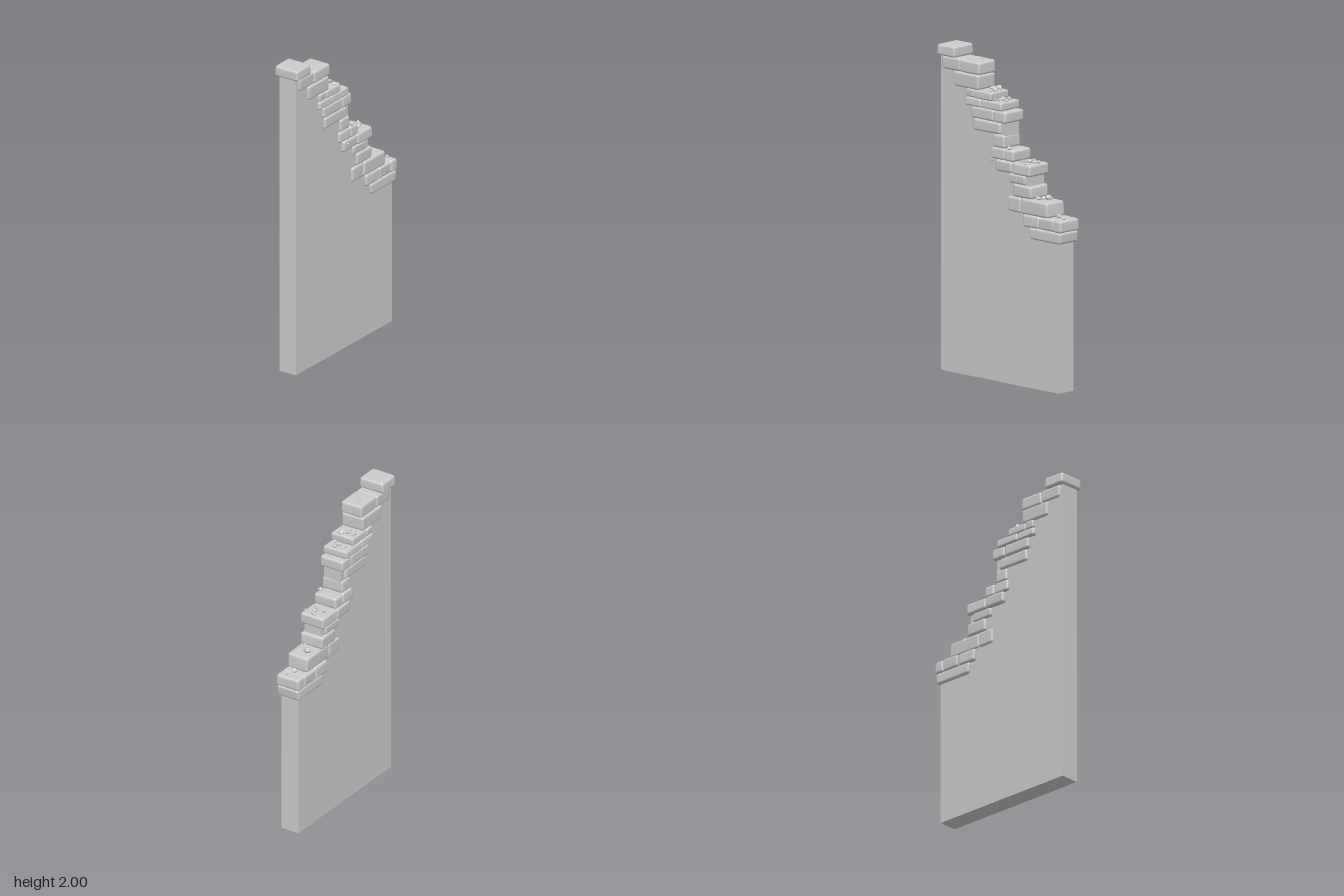
import * as THREE from 'three';
import { RoundedBoxGeometry } from 'three/addons/geometries/RoundedBoxGeometry.js';
import { mergeVertices } from 'three/addons/utils/BufferGeometryUtils.js';

// Courses of stones: bottom, top, x min, x max, then the z of each joint from front to back
const COURSES = [
  [1.93, 2.0, -0.1, 0.07, [0.522, 0.376]],
  [1.852, 1.932, -0.086, 0.063, [0.488, 0.335, 0.172]],
  [1.76, 1.852, -0.09, 0.063, [0.39, 0.18]],
  [1.711, 1.762, -0.094, 0.067, [0.28, 0.215, 0.07]],
  [1.66, 1.711, -0.1, 0.068, [0.285, 0.155, -0.015]],
  [1.588, 1.66, -0.098, 0.066, [0.24, 0.048, -0.052]],
  [1.515, 1.588, -0.09, 0.064, [0.222, -0.004]],
  [1.435, 1.515, -0.088, 0.06, [0.058, -0.036]],
  [1.363, 1.435, -0.095, 0.063, [0.072, -0.04, -0.118]],
  [1.293, 1.365, -0.098, 0.07, [0.036, -0.105, -0.262]],
  [1.235, 1.293, -0.09, 0.064, [-0.07, -0.215]],
  [1.155, 1.235, -0.095, 0.062, [-0.112, -0.265]],
  [1.06, 1.155, -0.085, 0.063, [-0.062, -0.175, -0.406]],
  [0.985, 1.062, -0.097, 0.066, [-0.2, -0.335, -0.455, -0.521]],
  [0.915, 0.987, -0.094, 0.064, [-0.25, -0.515]],
];

// Rubble: x, z, radius and, for the loose chip, a fixed height
const RUBBLE = [
  [0.008, -0.495, 0.012], [-0.01, -0.435, 0.021], [-0.03, -0.33, 0.024], [-0.008, -0.302, 0.019],
  [0.015, -0.285, 0.018], [-0.03, -0.245, 0.014], [-0.008, -0.23, 0.015], [-0.053, -0.18, 0.015],
  [0.003, -0.198, 0.018], [0.017, -0.158, 0.016], [0.058, -0.218, 0.007], [0.047, -0.072, 0.017],
  [-0.003, 0.004, 0.016], [-0.053, 0.033, 0.016], [-0.008, 0.036, 0.02], [0.01, 0.05, 0.015],
  [0.033, 0.06, 0.014], [0.004, 0.092, 0.021], [0.04, 0.095, 0.014], [-0.058, 0.12, 0.021],
  [-0.02, 0.115, 0.019], [-0.047, 0.153, 0.016], [-0.03, 0.155, 0.013], [-0.03, 0.235, 0.01],
  [0.094, 0.033, 0.008, 1.36],
];

let seed = 7;
function rand(spread) {
  seed = (seed * 16807) % 2147483647;
  return (seed / 2147483647 - 0.5) * 2 * spread;
}

const material = new THREE.MeshStandardMaterial({ color: 0xcccccc });
const chipMaterial = new THREE.MeshStandardMaterial({ color: 0xcccccc, flatShading: true });

// Rounded block whose faces and corners are pushed gently out of true
function makeStone(w, h, d) {
  let geo = new RoundedBoxGeometry(w, h, d, 3, Math.min(0.016, h * 0.25, d * 0.25));
  geo.deleteAttribute('uv');
  geo.deleteAttribute('normal');
  geo = mergeVertices(geo, 1e-5);
  const p = geo.attributes.position;
  const skew = Array.from({ length: 6 }, () => rand(0.025));
  for (let i = 0; i < p.count; i++) {
    const x = p.getX(i), y = p.getY(i), z = p.getZ(i);
    const u = x / w, v = y / h, t = z / d;
    p.setXYZ(i,
      x * (1 + skew[0] * v * 2) + 0.05 * w * skew[1] * t * 8,
      y * (1 + skew[2] * t * 4 + skew[3] * u * 2),
      z * (1 + skew[4] * u * 3 + skew[5] * v * 3));
  }
  geo.computeVertexNormals();
  return geo;
}

// Angular chip of broken stone
function makeChip(r) {
  let geo = new THREE.IcosahedronGeometry(r, 0);
  geo.deleteAttribute('uv');
  geo.deleteAttribute('normal');
  geo = mergeVertices(geo, 1e-5);
  const p = geo.attributes.position;
  for (let i = 0; i < p.count; i++) {
    const s = 1 + rand(0.22);
    p.setXYZ(i, p.getX(i) * s * 0.9, p.getY(i) * s * 0.75, p.getZ(i) * s);
  }
  geo.computeVertexNormals();
  return geo;
}

function surfaceHeight(z) {
  const course = COURSES.find(([, , , , cuts]) => z < cuts[0] && z > cuts[cuts.length - 1]);
  return course ? course[1] : 1;
}

export function createModel() {
  const model = new THREE.Group();
  model.name = 'brokenWall';

  // Plain slab with a stepped top hidden inside the stones
  const outline = [[0.505, 0], [0.505, 1.945]];
  let edge = 0.505;
  for (const [y0, y1, , , cuts] of COURSES) {
    const end = Math.max(cuts[cuts.length - 1] + 0.02, -0.488);
    if (end >= edge) continue;
    const top = (y0 + y1) / 2;
    outline.push([edge, top], [end, top]);
    edge = end;
  }
  outline.push([-0.49, 0.95], [-0.49, 0]);
  const shape = new THREE.Shape(outline.map(([z, y]) => new THREE.Vector2(-z, y)));
  const slab = new THREE.Mesh(
    new THREE.ExtrudeGeometry(shape, { depth: 0.123, bevelEnabled: false }), material);
  slab.name = 'wallSlab';
  slab.rotation.y = Math.PI / 2;
  slab.position.x = -0.075;
  model.add(slab);

  // Stones capping the broken edge
  const stones = new THREE.Group();
  stones.name = 'edgeStones';
  COURSES.forEach(([y0, y1, x0, x1, cuts]) => {
    for (let i = 0; i + 1 < cuts.length; i++) {
      const d = cuts[i] - cuts[i + 1];
      const stone = new THREE.Mesh(makeStone(x1 - x0, y1 - y0, d), material);
      stone.name = 'stone';
      stone.position.set((x0 + x1) / 2 + rand(0.002), (y0 + y1) / 2, (cuts[i] + cuts[i + 1]) / 2);
      stones.add(stone);
    }
  });
  model.add(stones);

  // Chips lying on the ledges
  const rubble = new THREE.Group();
  rubble.name = 'rubble';
  for (const [x, z, r, y] of RUBBLE) {
    const chip = new THREE.Mesh(makeChip(r), chipMaterial);
    chip.name = 'chip';
    chip.position.set(x, y ?? surfaceHeight(z) + r * 0.4, z);
    chip.rotation.set(rand(0.5), rand(3), rand(0.5));
    rubble.add(chip);
  }
  model.add(rubble);

  return model;
}
